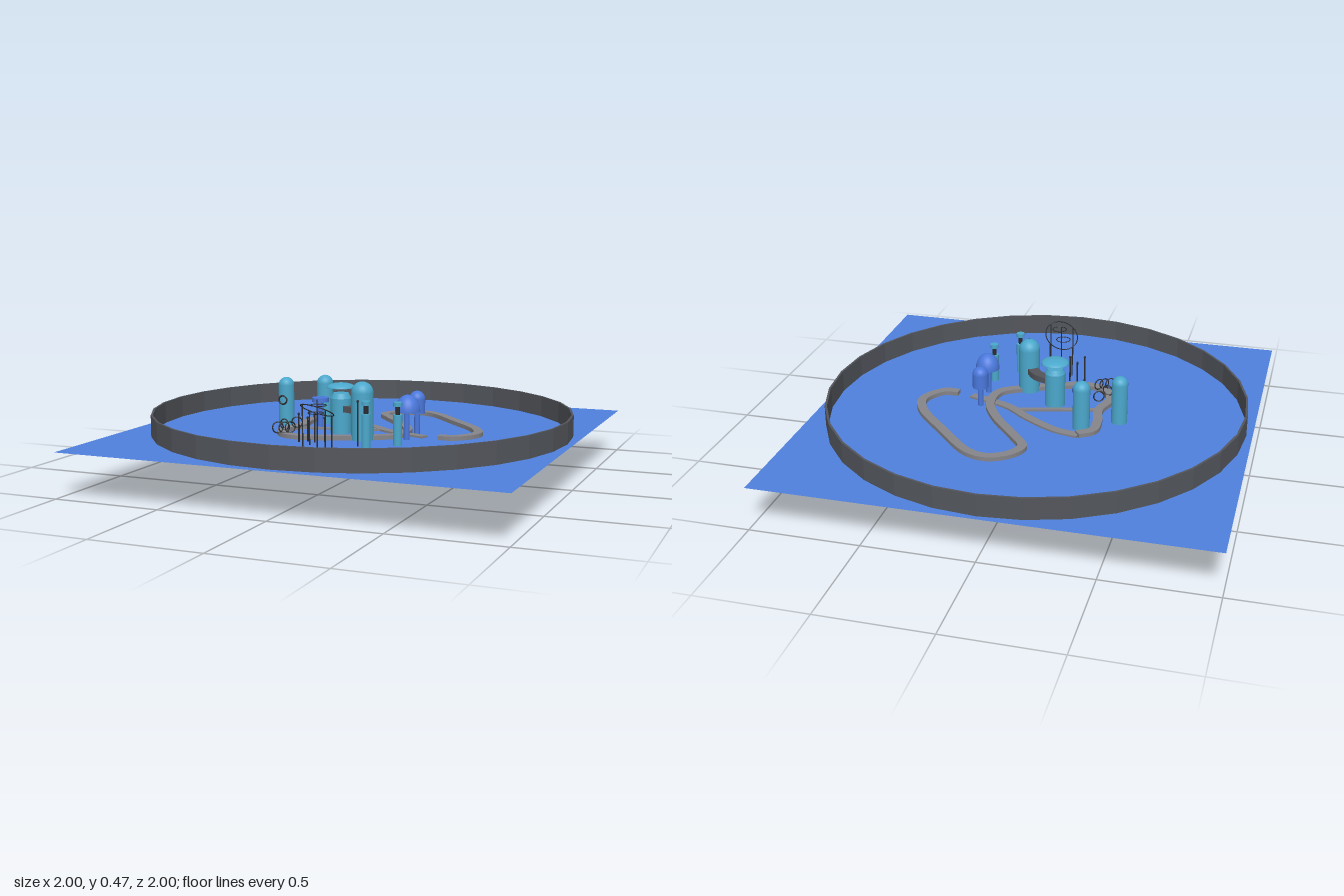
import * as THREE from 'three';

const material = (color, side = THREE.FrontSide) => new THREE.MeshStandardMaterial({ color, side });

const WATER = 0.203; // height of the water sheet

export function createModel() {
  const model = new THREE.Group();
  const teal = material(0x4ba8cc, THREE.DoubleSide);
  const blue = material(0x4a78dc, THREE.DoubleSide);
  const sea = material(0x4f80de, THREE.DoubleSide);
  const road = material(0x85858a);
  const wall = material(0x53565c);
  const dark = material(0x2c2e33);

  function add(name, geometry, mat, x = 0, y = 0, z = 0, parent = model) {
    const mesh = new THREE.Mesh(geometry, mat);
    mesh.name = name;
    mesh.position.set(x, y, z);
    parent.add(mesh);
    return mesh;
  }

  // Upright cylinder given by its bottom and top heights
  function post(name, mat, x, z, r, y0, y1, parent = model, rTop = r) {
    const geometry = new THREE.CylinderGeometry(rTop, r, y1 - y0, r > 0.01 ? 24 : 6);
    return add(name, geometry, mat, x, (y0 + y1) / 2, z, parent);
  }

  // Half sphere, stretched to a given height
  function dome(name, mat, x, y, z, r, height, parent = model) {
    const geometry = new THREE.SphereGeometry(r, 24, 10, 0, Math.PI * 2, 0, Math.PI / 2);
    geometry.scale(1, height / r, 1);
    return add(name, geometry, mat, x, y, z, parent);
  }

  function domedTower(name, mat, x, z, r, y0, y1) {
    const tower = new THREE.Group();
    tower.name = name;
    post('towerBody', mat, x, z, r, y0, y1 - r, tower);
    dome('towerDome', mat, x, y1 - r, z, r, r, tower);
    model.add(tower);
  }

  // Flat band with a rectangular section swept along [x, z] points
  function band(name, points, width, y0, y1, mat, steps = 100) {
    const curve = new THREE.CatmullRomCurve3(points.map(([x, z]) => new THREE.Vector3(x, 0, z)));
    const positions = [];
    const index = [];
    for (let i = 0; i <= steps; i++) {
      const p = curve.getPointAt(i / steps);
      const t = curve.getTangentAt(i / steps);
      const sx = -t.z * width / 2;
      const sz = t.x * width / 2;
      for (const [s, y] of [[1, y0], [1, y1], [-1, y1], [-1, y0]]) {
        positions.push(p.x + s * sx, y, p.z + s * sz);
      }
    }
    for (let i = 0; i < steps; i++) {
      for (let k = 0; k < 4; k++) {
        const a = i * 4 + k, b = i * 4 + (k + 1) % 4;
        index.push(a, a + 4, b, b, a + 4, b + 4);
      }
    }
    const e = steps * 4;
    index.push(0, 1, 2, 0, 2, 3, e, e + 2, e + 1, e, e + 3, e + 2);
    let geometry = new THREE.BufferGeometry();
    geometry.setAttribute('position', new THREE.Float32BufferAttribute(positions, 3));
    geometry.setIndex(index);
    geometry = geometry.toNonIndexed();
    geometry.computeVertexNormals();
    const bandMat = mat.clone();
    bandMat.side = THREE.DoubleSide;
    return add(name, geometry, bandMat);
  }

  // Water sheet
  add('water', new THREE.PlaneGeometry(2, 2).rotateX(-Math.PI / 2), sea, 0, WATER, 0);

  // Thin round boundary wall, 32 sides
  const circle = (r) => Array.from({ length: 32 }, (_, i) => {
    const a = i * Math.PI / 16;
    return new THREE.Vector2(Math.cos(a) * r, Math.sin(a) * r);
  });
  const ring = new THREE.Shape(circle(0.972));
  ring.holes.push(new THREE.Path(circle(0.962)));
  const ringGeometry = new THREE.ExtrudeGeometry(ring, { depth: 0.104, bevelEnabled: false });
  add('boundaryWall', ringGeometry.rotateX(-Math.PI / 2), wall, 0, 0.198, -0.005);

  // Winding road
  band('road', [
    [0.41, 0.09], [0.47, 0.09], [0.53, 0.03], [0.55, -0.04], [0.51, -0.14], [0.36, -0.31],
    [0.19, -0.48], [0.1, -0.505], [0.01, -0.46], [-0.03, -0.38], [0.03, -0.29], [0.16, -0.13],
    [0.23, 0.01], [0.22, 0.14], [0.09, 0.225], [-0.17, 0.32], [-0.26, 0.29], [-0.31, 0.19],
    [-0.28, 0.06], [-0.3, -0.06], [-0.295, -0.15], [-0.235, -0.195],
  ], 0.042, WATER - 0.001, 0.222, road, 160);
  // Stretch lying half in the water
  band('sinkingRoad', [
    [-0.24, -0.195], [-0.13, -0.17], [0.03, -0.075], [0.14, 0.01], [0.34, 0.085],
  ], 0.042, 0.19, 0.212, road, 40);
  band('sideRoad', [[-0.27, 0.08], [-0.1, 0.04], [0.12, -0.015]], 0.022, WATER - 0.001, 0.212, road, 12);

  // Domed towers
  domedTower('westTower', teal, -0.39, -0.005, 0.037, 0.175, 0.43);
  domedTower('northTower', teal, -0.235, -0.11, 0.039, 0.148, 0.435);
  domedTower('southTower', teal, 0.097, 0.23, 0.05, 0.198, 0.465);
  add('towerPorthole', new THREE.TorusGeometry(0.02, 0.004, 8, 24), dark, -0.39, 0.325, 0.035);

  // Central tower under a shallow canopy
  post('centralTower', teal, -0.06, 0.105, 0.048, 0.138, 0.365);
  post('centralTowerTop', teal, -0.06, 0.105, 0.048, 0.365, 0.388, model, 0.036);
  dome('centralCanopy', teal, -0.06, 0.413, 0.105, 0.066, 0.022);

  // Curved bridge from the central tower to the south tower
  band('bridge', [[-0.04, 0.115], [0.03, 0.145], [0.085, 0.215]], 0.05, 0.305, 0.333, wall, 16);

  // Round platform
  post('platformTop', blue, -0.205, 0.012, 0.04, 0.325, 0.345);
  post('platformStem', blue, -0.205, 0.012, 0.014, 0.18, 0.325);

  // Domed cabins on long piles
  dome('mushroomRoof', blue, 0.282, 0.33, 0.15, 0.057, 0.075);
  add('mushroomFloor', new THREE.CircleGeometry(0.057, 24).rotateX(Math.PI / 2), blue, 0.282, 0.33, 0.15);
  post('mushroomPile', blue, 0.28, 0.155, 0.013, 0.008, 0.33);
  domedTower('cabin', blue, 0.273, 0, 0.037, 0.3, 0.402);
  post('cabinPile', blue, 0.275, 0.005, 0.013, 0, 0.3);

  // Lookout posts with a thin neck and a cap
  for (const [x, z, top] of [[0.192, 0.42, 0.41], [0.29, 0.295, 0.393]]) {
    post('lookoutBody', teal, x, z, 0.02, 0.198, top - 0.055);
    post('lookoutNeck', dark, x, z, 0.01, top - 0.055, top - 0.018);
    post('lookoutCap', teal, x, z, 0.02, top - 0.018, top);
  }

  // Arches over the road bend
  for (const [x, z, turn] of [[-0.262, 0.15, 0.4], [-0.29, 0.225, -0.3],
    [-0.285, 0.305, 0.7], [-0.258, 0.295, 0.8], [-0.235, 0.28, 0.9]]) {
    const arch = add('roadArch', new THREE.TorusGeometry(0.025, 0.003, 6, 20), dark, x, 0.245, z);
    arch.rotation.y = turn;
  }

  // Slim poles in the water
  for (const [x, z, top] of [[-0.14, 0.39, 0.33], [-0.11, 0.36, 0.31],
    [-0.07, 0.375, 0.33], [-0.035, 0.345, 0.31], [0.137, 0.38, 0.4]]) {
    post('waterPole', dark, x, z, 0.004, 0.165, top);
    add('poleKnob', new THREE.SphereGeometry(0.006, 8, 6), dark, x, top, z);
  }

  // Wire ride: tilted oval loop, two hoops, a mast and supports
  const ride = new THREE.Group();
  ride.name = 'wireRide';
  ride.position.set(0.01, 0, 0.525);
  ride.rotation.y = -0.85;
  model.add(ride);
  const oval = Array.from({ length: 16 }, (_, i) => {
    const a = i * Math.PI / 8;
    return new THREE.Vector3(Math.cos(a) * 0.115, 0.375 + 0.035 * Math.sin(a + 0.6), Math.sin(a) * 0.065);
  });
  const loop = new THREE.CatmullRomCurve3(oval, true);
  add('rideLoop', new THREE.TubeGeometry(loop, 64, 0.0025, 5, true), dark, 0, 0, 0, ride);
  for (const [x, y] of [[-0.02, 0.36], [0.02, 0.4]]) {
    const hoop = new THREE.TorusGeometry(0.034, 0.002, 5, 28).rotateX(Math.PI / 2);
    add('rideHoop', hoop, dark, x, y, 0, ride);
  }
  post('rideMast', dark, 0, 0, 0.003, 0.2, 0.42, ride);
  for (const i of [0, 4, 8, 12]) {
    post('rideSupport', dark, oval[i].x, oval[i].z, 0.003, 0.2, oval[i].y, ride);
  }

  return model;
}
